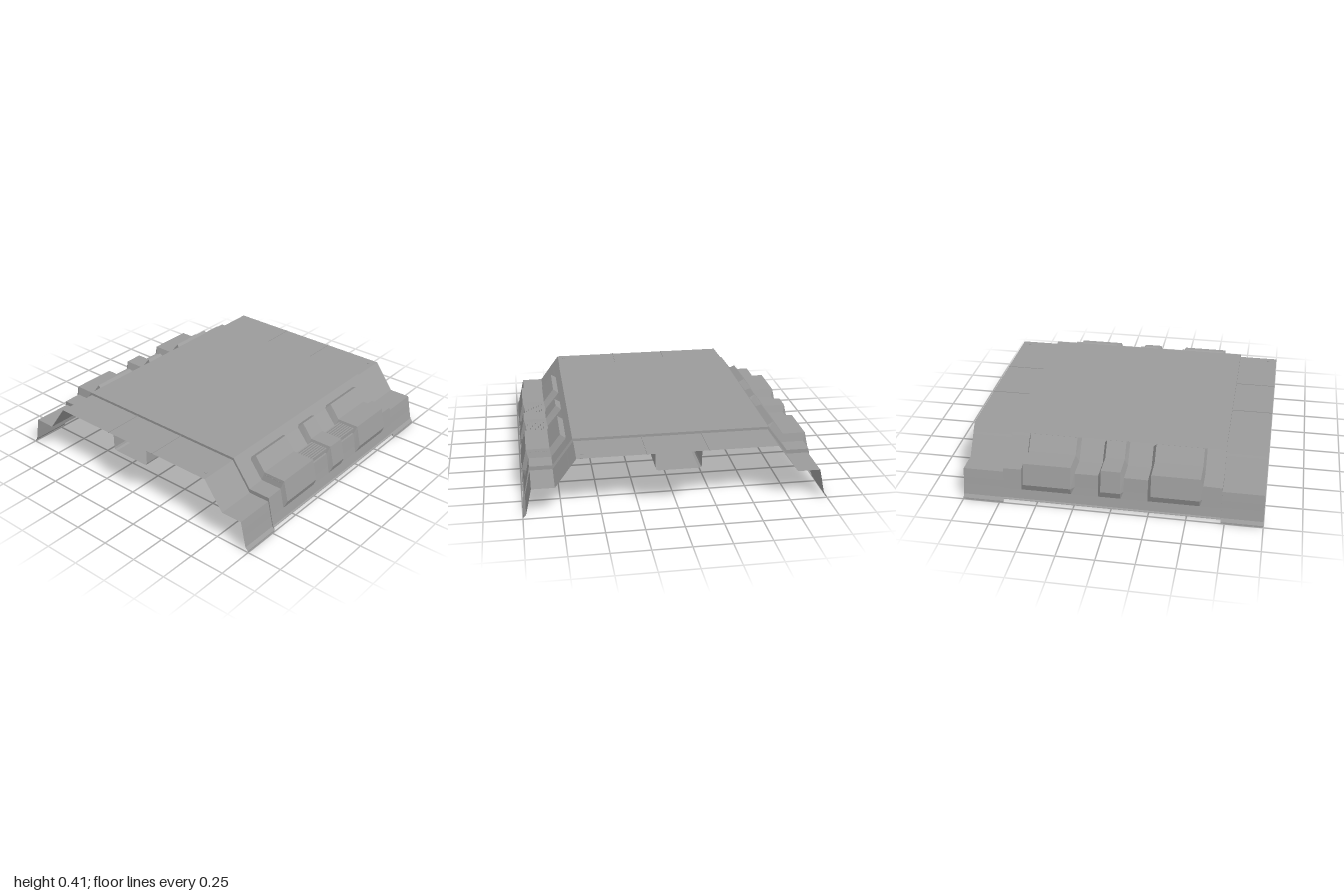
import * as THREE from 'three';

const GREY = 0x9b9b9b;
const material = new THREE.MeshStandardMaterial({ color: GREY, flatShading: true, side: THREE.DoubleSide });
const smooth = new THREE.MeshStandardMaterial({ color: GREY });

// Sheet through columns [x, profile], each profile a list of [z, y]
function loft(columns) {
  const pos = [];
  for (let i = 0; i < columns.length - 1; i++) {
    const [x0, p] = columns[i], [x1, q] = columns[i + 1];
    for (let j = 0; j < p.length - 1; j++) {
      const a = [x0, p[j][1], p[j][0]], b = [x1, q[j][1], q[j][0]];
      const c = [x1, q[j + 1][1], q[j + 1][0]], d = [x0, p[j + 1][1], p[j + 1][0]];
      pos.push(...a, ...b, ...c, ...a, ...c, ...d);
    }
  }
  const g = new THREE.BufferGeometry();
  g.setAttribute('position', new THREE.Float32BufferAttribute(pos, 3));
  g.computeVertexNormals();
  return g;
}

// Half profile (bottom lip up to the roof edge) mirrored to the back
const mirrored = half => [...half, ...half.map(([z, y]) => [-z, y]).reverse()];

const wing = mirrored([[0.998, 0], [0.997, 0.01], [0.99, 0.018], [0.979, 0.03], [0.963, 0.1], [0.953, 0.15],
  [0.94, 0.207], [0.79, 0.207], [0.70, 0.33], [0.69, 0.343], [0.65, 0.397]]);
const lip = [[0.982, 0.026], [0.992, 0.026], [0.99, 0.031], [0.984, 0.036], [0.97, 0.1]];
// The ledge of the centre rises slightly towards the middle
const centre = x => {
  const ledge = 0.235 + 0.011 * (1 - (x / 0.725) ** 2);
  return mirrored([...lip, [0.96, 0.15], [0.943, ledge], [0.79, ledge], [0.70, 0.355], [0.69, 0.368], [0.655, 0.415]]);
};
const bulge = mirrored([...lip, [0.99, 0.15], [0.957, 0.295], [0.80, 0.295],
  [0.727, 0.39], [0.69, 0.368], [0.655, 0.415]]);

export function createModel() {
  const model = new THREE.Group();
  const add = (name, geometry, mat = material, x = 0, y = 0, z = 0) => {
    const mesh = new THREE.Mesh(geometry, mat);
    mesh.name = name;
    mesh.position.set(x, y, z);
    model.add(mesh);
  };

  // Folded shell: side wings, raised centre and three hollow bulges front and back
  const half = [[0.065, bulge], [0.085, centre(0.085)], [0.243, centre(0.243)], [0.265, bulge], [0.585, bulge],
    [0.6, centre(0.6)], [0.725, centre(0.725)], [0.725, wing], [1, wing]];
  const left = half.map(([x, p]) => [-x, p]).reverse();
  add('shell', loft([...left, ...half]));

  // Open-ended channel under the roof
  const u = [[0.15, 0.395], [0.15, 0.3], [0.145, 0.286], [0.13, 0.28],
    [-0.13, 0.28], [-0.145, 0.286], [-0.15, 0.3], [-0.15, 0.395]].reverse();
  add('crossChannel', loft([[-1, u], [1, u]]));

  // Grille slats running through the front bulges
  for (let i = 0; i < 7; i++) {
    add('grilleSlat', new THREE.BoxGeometry(1.18, 0.029, 0.01), material, 0, 0.264, 0.815 + i * 0.019);
  }

  // Bent rod under the front roof edge, with two hand loops
  const loop = [[0.09, 0.61], [0.13, 0.59], [0.15, 0.53], [0.19, 0.51], [0.31, 0.51], [0.35, 0.53], [0.37, 0.59], [0.41, 0.61], [0.95, 0.61]];
  const path = [...loop.map(([x, z]) => [-x, z]).reverse(), ...loop];
  const rod = new THREE.CurvePath();
  const points = path.map(([x, z]) => new THREE.Vector3(x, 0.372, z));
  for (let i = 0; i < points.length - 1; i++) rod.add(new THREE.LineCurve3(points[i], points[i + 1]));
  add('handleRod', new THREE.TubeGeometry(rod, 160, 0.012, 8), smooth);

  for (const s of [-1, 1]) {
    // Rod brackets
    for (const x of [0.04, 0.46, 0.93]) {
      add('rodBracket', new THREE.BoxGeometry(0.02, 0.03, 0.02), material, s * x, 0.381, 0.615);
    }
    // Low ribs across the wings
    for (const z of [-0.2, 0.2]) {
      add('wingRib', new THREE.BoxGeometry(0.275, 0.006, 0.008), material, s * 0.8625, 0.398, z);
    }
    // Fasteners at the front roof corners
    add('fastener', new THREE.CylinderGeometry(0.01, 0.01, 0.006, 12), material, s * 0.94, 0.398, 0.61);
  }
  return model;
}
